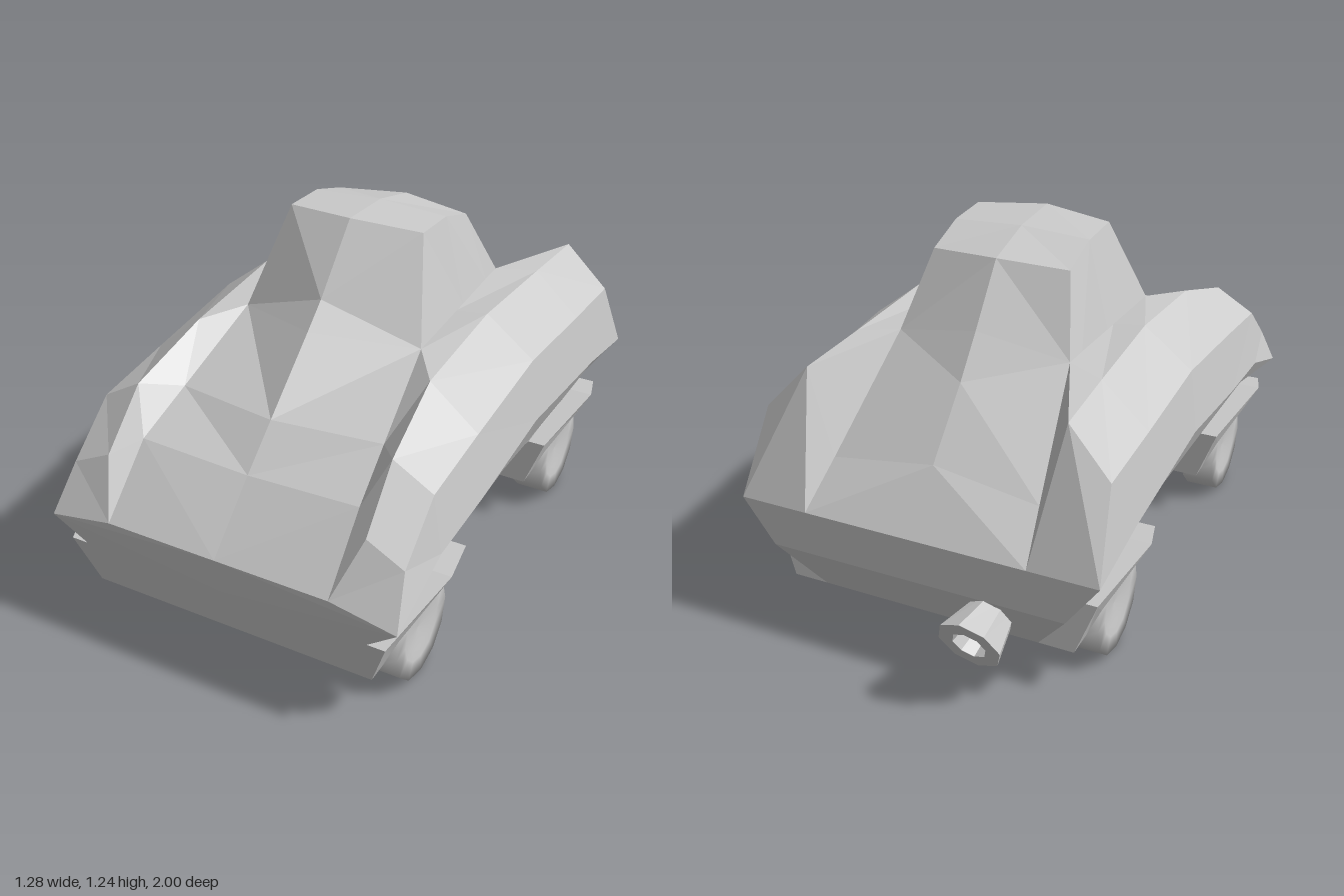
import * as THREE from 'three';

const material = new THREE.MeshStandardMaterial({ color: 0xcccccc, flatShading: true });
const smooth = new THREE.MeshStandardMaterial({ color: 0xcccccc });

// Skin a grid of points (rows of equal length); optionally mirrored across x
function skin(name, rows, mirrored = true) {
  const out = [];
  const quad = (a, b, c, d) => out.push(...a, ...b, ...c, ...a, ...c, ...d);
  const flip = ([x, y, z]) => [-x, y, z];
  for (let i = 0; i < rows.length - 1; i++) {
    for (let j = 0; j < rows[i].length - 1; j++) {
      const [a, b, c, d] = [rows[i][j], rows[i][j + 1], rows[i + 1][j + 1], rows[i + 1][j]];
      quad(a, b, c, d);
      // Mirrored copy starts at the same corner, so both sides share a diagonal
      if (mirrored) quad(flip(a), flip(d), flip(c), flip(b));
    }
  }
  const g = new THREE.BufferGeometry();
  g.setAttribute('position', new THREE.Float32BufferAttribute(out, 3));
  g.computeVertexNormals();
  const mesh = new THREE.Mesh(g, material);
  mesh.name = name;
  return mesh;
}

// Wheel-arch flare: body contact, outer lip, inner lip, well depth, front to back
function flare(name, zc, outerZ, innerZ) {
  const outerY = [0.16, 0.33, 0.43, 0.335, 0.16], innerY = [0.16, 0.27, 0.35, 0.27, 0.16];
  const bodyX = [0.38, 0.505, 0.56, 0.505, 0.38];
  const lipX = [0.5, 0.565, 0.64, 0.565, 0.5], innerX = [0.5, 0.55, 0.598, 0.55, 0.5];
  return skin(name, outerY.map((y, i) => [
    [bodyX[i], y, zc + outerZ[i]],
    [lipX[i], y, zc + outerZ[i]],
    [innerX[i], innerY[i], zc + innerZ[i]],
    [0.38, innerY[i], zc + innerZ[i]],
  ]));
}

export function createModel() {
  const car = new THREE.Group();
  car.name = 'car';

  // Hood, fenders and rear deck: centre, deck edge, fender ridge, shoulder, widest line
  car.add(skin('upperBody', [
    [[0, 0.46, 1], [0.39, 0.46, 1], [0.39, 0.46, 1], [0.613, 0.42, 1], [0.613, 0.42, 1]],
    [[0, 0.645, 0.8], [0.385, 0.66, 0.8], [0.455, 0.63, 0.89], [0.585, 0.57, 0.9], [0.613, 0.466, 0.87]],
    [[0, 0.765, 0.66], [0.36, 0.755, 0.602], [0.45, 0.8, 0.72], [0.585, 0.72, 0.72], [0.613, 0.52, 0.72]],
    [[0, 0.96, 0.43], [0.32, 0.91, 0.28], [0.42, 0.895, 0.42], [0.585, 0.755, 0.42], [0.613, 0.535, 0.43]],
    [[0, 0.915, 0], [0.31, 0.915, 0], [0.42, 0.93, 0], [0.587, 0.8, 0], [0.613, 0.58, 0]],
    [[0, 0.86, -0.5], [0.3, 0.92, -0.34], [0.43, 0.915, -0.4], [0.587, 0.77, -0.4], [0.613, 0.53, -0.54]],
    [[0, 0.665, -0.69], [0.355, 0.61, -0.69], [0.44, 0.905, -0.68], [0.585, 0.75, -0.7], [0.613, 0.503, -0.7]],
    [[0, 0.48, -0.84], [0.38, 0.48, -0.84], [0.38, 0.48, -0.84], [0.613, 0.48, -0.84], [0.613, 0.48, -0.84]],
  ]));

  // Cabin: centre line, roof edge, base
  car.add(skin('cabin', [
    [[0, 0.96, 0.43], [0.32, 0.91, 0.28], [0.32, 0.91, 0.28]],
    [[0, 1.035, 0.345], [0.32, 0.91, 0.28], [0.32, 0.91, 0.28]],
    [[0, 1.238, 0.155], [0.24, 1.222, 0.115], [0.317, 0.91, 0.15]],
    [[0, 1.228, -0.05], [0.24, 1.215, -0.05], [0.31, 0.915, -0.05]],
    [[0, 1.18, -0.24], [0.24, 1.165, -0.205], [0.303, 0.915, -0.25]],
    [[0, 0.99, -0.39], [0.3, 0.92, -0.34], [0.3, 0.92, -0.34]],
    [[0, 0.86, -0.5], [0.3, 0.92, -0.34], [0.3, 0.92, -0.34]],
  ]));

  // Undercut sides from the widest line in to arches and sill
  car.add(skin('sidePanels', [
    [[0.613, 0.42, 1], [0.505, 0.33, 0.98]],
    [[0.613, 0.52, 0.72], [0.56, 0.43, 0.7]],
    [[0.613, 0.535, 0.43], [0.505, 0.335, 0.43]],
    [[0.613, 0.58, 0], [0.505, 0.345, 0]],
    [[0.613, 0.56, -0.22], [0.505, 0.335, -0.23]],
    [[0.613, 0.53, -0.54], [0.56, 0.43, -0.48]],
    [[0.613, 0.503, -0.7], [0.505, 0.335, -0.73]],
    [[0.613, 0.48, -0.84], [0.505, 0.33, -0.84]],
  ]));
  car.add(skin('sills', [
    [[0.505, 0.335, 0.43], [0.38, 0.16, 0.42]],
    [[0.505, 0.345, 0], [0.38, 0.16, 0]],
    [[0.505, 0.335, -0.23], [0.38, 0.16, -0.22]],
  ]));
  car.add(skin('rearCorners', [
    [[0.505, 0.335, -0.73], [0.38, 0.16, -0.75]],
    [[0.505, 0.33, -0.84], [0.38, 0.16, -0.75]],
  ]));

  // Front and rear faces
  car.add(skin('frontPanel', [
    [[0, 0.16, 0.94], [0.38, 0.16, 0.94]],
    [[0, 0.33, 0.98], [0.505, 0.33, 0.98]],
    [[0, 0.46, 1], [0.613, 0.42, 1]],
    [[0, 0.46, 1], [0.39, 0.46, 1]],
  ]));
  car.add(skin('rearPanel', [
    [[0, 0.48, -0.84], [0.613, 0.48, -0.84]],
    [[0, 0.33, -0.84], [0.505, 0.33, -0.84]],
    [[0, 0.16, -0.75], [0.38, 0.16, -0.75]],
  ]));

  // Floor with feet under the flares: z and half width
  car.add(skin('floor', [
    [-0.75, 0.5], [-0.65, 0.5], [-0.65, 0.38], [-0.285, 0.38], [-0.285, 0.5], [-0.22, 0.5], [-0.22, 0.38],
    [0.42, 0.38], [0.42, 0.5], [0.49, 0.5], [0.49, 0.38], [0.865, 0.38], [0.865, 0.5], [0.94, 0.5],
  ].map(([z, x]) => [[0, 0.16, z], [x, 0.16, z]])));

  // Wheel arches
  car.add(flare('frontArches', 0.7, [0.24, 0.28, 0, -0.27, -0.28], [0.165, 0.165, 0, -0.2, -0.21]));
  car.add(flare('rearArches', -0.48, [0.26, 0.25, 0, -0.25, -0.27], [0.195, 0.195, 0, -0.175, -0.17]));

  // Wheels
  const profile = [[0, -0.045], [0.08, -0.05], [0.11, -0.058], [0.17, -0.058],
    [0.17, 0.058], [0.11, 0.058], [0.08, 0.05], [0, 0.045]].map(([r, y]) => new THREE.Vector2(r, y));
  const wheelGeometry = new THREE.LatheGeometry(profile, 12);
  wheelGeometry.rotateZ(-Math.PI / 2);
  for (const [end, z] of [['front', 0.675], ['rear', -0.47]]) {
    for (const [side, x] of [['Left', 0.475], ['Right', -0.475]]) {
      const wheel = new THREE.Mesh(wheelGeometry, smooth);
      wheel.name = end + side + 'Wheel';
      wheel.position.set(x, 0.17, z);
      car.add(wheel);
    }
  }

  // Flared eight-sided exhaust with slanted, hollow end
  const ring = (rx, ry, y, z) => Array.from({ length: 9 }, (_, k) => {
    const a = -Math.PI / 2 - (k % 8) * Math.PI / 4;
    const dy = Math.sin(a) * ry;
    return [-0.24 + Math.cos(a) * rx, y + dy, z - dy * 0.52];
  });
  car.add(skin('exhaust', [
    ring(0.06, 0.075, 0.25, -0.74),
    ring(0.102, 0.116, 0.235, -0.94),
    ring(0.055, 0.063, 0.235, -0.94),
    ring(0.045, 0.05, 0.245, -0.83),
    ring(0, 0, 0.245, -0.83),
  ], false));

  return car;
}
